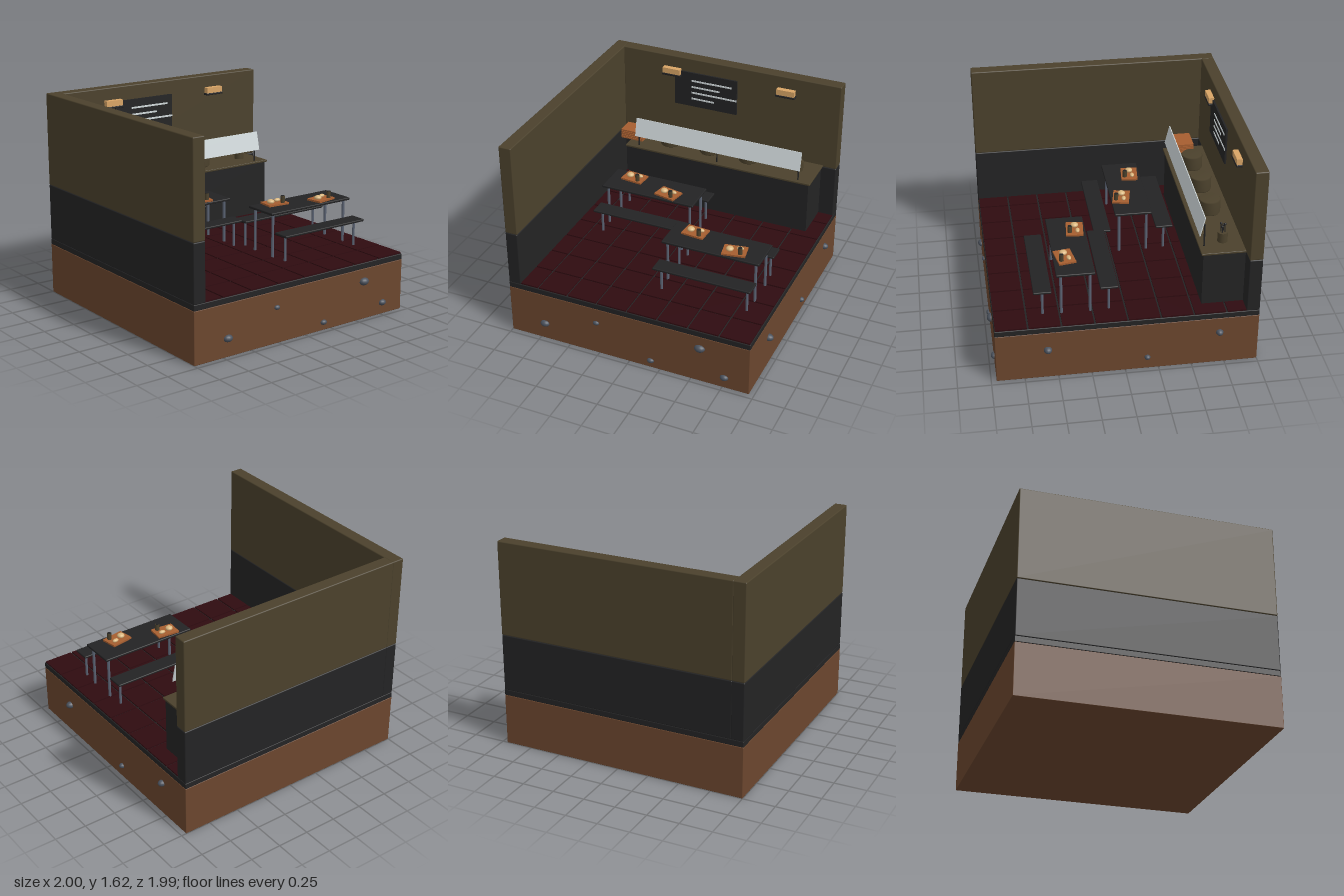
import * as THREE from 'three';
import { RoundedBoxGeometry } from 'three/addons/geometries/RoundedBoxGeometry.js';

function material(name, color, extra = {}) {
  const m = new THREE.MeshStandardMaterial({ color, ...extra });
  m.name = name;
  return m;
}

export function createModel() {
  const soil = material('soil', 0x6b462e);
  const dark = material('charcoal', 0x232324);
  const red = material('red tile', 0x2f0b10);
  const olive = material('olive', 0x4b412c);
  const orange = material('orange wood', 0xa65e30);
  const wood = material('pale wood', 0xd9a566);
  const white = material('pale glass', 0xd0d8da, { side: THREE.DoubleSide });
  const steel = material('steel', 0x5a6272);
  const stone = material('stone', 0x4a515c);
  const bread = material('bread', 0xd9b67e);

  const root = new THREE.Group();
  root.name = 'diner';

  function add(parent, name, geometry, mat, x = 0, y = 0, z = 0) {
    const mesh = new THREE.Mesh(geometry, mat);
    mesh.name = name;
    mesh.position.set(x, y, z);
    parent.add(mesh);
    return mesh;
  }
  // Box given by its limits; r > 0 rounds the edges
  function block(parent, name, mat, x0, x1, y0, y1, z0, z1, r = 0) {
    const s = [x1 - x0, y1 - y0, z1 - z0];
    const g = r ? new RoundedBoxGeometry(...s, 2, r) : new THREE.BoxGeometry(...s);
    return add(parent, name, g, mat, (x0 + x1) / 2, (y0 + y1) / 2, (z0 + z1) / 2);
  }
  // Upright cylinder standing at y0
  function post(parent, name, mat, r, x, z, y0, y1, sides = 12) {
    return add(parent, name, new THREE.CylinderGeometry(r, r, y1 - y0, sides), mat, x, (y0 + y1) / 2, z);
  }
  function group(name, x = 0, y = 0, z = 0) {
    const g = new THREE.Group();
    g.name = name;
    g.position.set(x, y, z);
    root.add(g);
    return g;
  }

  // Ground block and floor slab
  block(root, 'soilBlock', soil, -1, 0.96, 0, 0.4, -1, 0.96, 0.004);
  block(root, 'floorSlab', dark, -1, 0.96, 0.4, 0.446, -1, 0.96, 0.005);

  // Tiled floor
  const floor = group('floorTiles');
  const pitch = 0.245;
  for (let i = 0; i < 8; i++) {
    for (let j = 0; j < 8; j++) {
      const x = -1 + i * pitch, z = -1 + j * pitch;
      block(floor, 'floorTile', red, x + 0.007, x + pitch - 0.007, 0.44, 0.457, z + 0.007, z + pitch - 0.007);
    }
  }

  // Two walls, each with a dark lower and an olive upper band
  const walls = group('walls');
  for (const [mat, y0, y1, name] of [[dark, 0.445, 0.89, 'lower'], [olive, 0.89, 1.62, 'upper']]) {
    block(walls, name + 'LeftWall', mat, -1, -0.9, y0, y1, -1, 0.96, 0.008);
    block(walls, name + 'BackWall', mat, -0.905, 0.96, y0, y1, -1, -0.9, 0.008);
  }

  // Stones set into the soil: x, y, z, half sizes
  const stones = group('stones');
  for (const [x, y, z, a, b, c] of [
    [-0.71, 0.14, 0.96, 0.037, 0.027, 0.03], [-0.27, 0.275, 0.96, 0.025, 0.018, 0.02],
    [0.57, 0.3, 0.96, 0.042, 0.03, 0.034], [0.175, 0.062, 0.96, 0.028, 0.02, 0.022],
    [0.765, 0.092, 0.96, 0.033, 0.024, 0.027], [0.96, 0.25, 0.575, 0.04, 0.027, 0.031],
    [0.96, 0.275, -0.705, 0.036, 0.025, 0.028], [0.96, 0.102, -0.165, 0.028, 0.02, 0.023],
  ]) add(stones, 'stone', new THREE.SphereGeometry(1, 14, 10), stone, x, y, z).scale.set(a, b, c);

  // Serving counter
  const counter = group('counter');
  block(counter, 'counterBody', dark, -0.73, 0.835, 0.446, 0.89, -0.9, -0.585);
  block(counter, 'counterTop', olive, -0.745, 0.85, 0.889, 0.906, -0.9, -0.57, 0.004);

  // Pots
  const potProfile = [[0, 0], [0.078, 0], [0.083, 0.008], [0.083, 0.108], [0.077, 0.117], [0, 0.117]]
    .map(([r, y]) => new THREE.Vector2(r, y));
  for (const x of [-0.415, -0.07, 0.272]) {
    add(counter, 'pot', new THREE.LatheGeometry(potProfile, 32), olive, x, 0.906, -0.745);
  }

  // Utensil holder
  post(counter, 'utensilCup', olive, 0.038, 0.692, -0.755, 0.906, 0.985, 20);
  for (let i = 0; i < 4; i++) {
    const a = i * Math.PI / 2 + 0.5, dx = Math.cos(a) * 0.015, dz = Math.sin(a) * 0.015;
    const top = 1.035 + (i % 2) * 0.018;
    post(counter, 'utensilHandle', dark, 0.004, 0.692 + dx, -0.755 + dz, 0.98, top, 8);
    add(counter, 'utensilHead', new THREE.SphereGeometry(0.01, 10, 8), dark, 0.692 + dx, top, -0.755 + dz);
  }

  // Stacked trays at the end of the counter
  for (let i = 0; i < 5; i++) {
    const y = 0.906 + i * 0.016;
    block(counter, 'stackedTray', orange, -0.83, -0.637, y, y + 0.013, -0.805, -0.665);
    if (i < 4) block(counter, 'trayFoot', orange, -0.822, -0.645, y + 0.013, y + 0.016, -0.797, -0.673);
  }

  // Tilted glass guard on thin posts
  const glass = add(counter, 'glassGuard', new THREE.BoxGeometry(1.42, 0.154, 0.007), white, 0.053, 1.08, -0.588);
  glass.rotation.x = -0.23;
  for (const x of [-0.64, 0.05, 0.74]) post(counter, 'guardPost', dark, 0.006, x, -0.608, 0.906, 1.09, 8);

  // Menu board with plain chalk strokes
  const board = group('menuBoard');
  block(board, 'boardPanel', dark, -0.44, 0.1, 1.205, 1.505, -0.902, -0.886);
  for (const [x1, y] of [[0.053, 1.436], [-0.05, 1.381], [0.1, 1.329], [-0.095, 1.276]]) {
    block(board, 'chalkStroke', white, -0.292, x1, y - 0.007, y + 0.007, -0.886, -0.882);
  }

  // Wall lamps
  for (const x of [-0.463, 0.515]) {
    const lamp = group('wallLamp', x);
    block(lamp, 'lampShade', wood, -0.074, 0.074, 1.475, 1.521, -0.9, -0.858);
    block(lamp, 'lampBracket', dark, -0.082, 0.082, 1.458, 1.475, -0.9, -0.854, 0.004);
  }

  // Dining sets: one table between two benches
  function diningSet(x, z) {
    const set = group('diningSet', x, 0, z);
    block(set, 'tableTop', dark, -0.39, 0.39, 0.79, 0.81, -0.143, 0.143, 0.006);
    for (const sx of [-1, 1]) {
      for (const sz of [-1, 1]) {
        post(set, 'tableLeg', steel, 0.011, sx * 0.353, sz * 0.107, 0.452, 0.792);
        post(set, 'benchLeg', steel, 0.01, sx * 0.343, sz * 0.245, 0.452, 0.657);
      }
    }
    for (const sz of [-1, 1]) {
      const c = sz * 0.245;
      block(set, 'benchSeat', dark, -0.39, 0.39, 0.655, 0.673, c - 0.067, c + 0.067, 0.006);
    }
  }
  diningSet(-0.315, -0.195);
  diningSet(0.445, 0.347);

  // Meal trays: x, z, turn
  for (const [x, z, turn] of [[-0.515, -0.252, -0.1], [-0.168, -0.135, -0.2], [0.245, 0.285, -0.09], [0.61, 0.403, 0.17]]) {
    const meal = group('mealTray', x, 0.81, z);
    meal.rotation.y = turn;
    block(meal, 'tray', orange, -0.09, 0.09, 0, 0.014, -0.065, 0.065);
    add(meal, 'bun', new THREE.SphereGeometry(1, 18, 12), bread, -0.037, 0.023, 0).scale.set(0.029, 0.019, 0.029);
    add(meal, 'roll', new THREE.SphereGeometry(1, 16, 10), bread, 0.037, 0.021, -0.022).scale.set(0.027, 0.014, 0.017);
    post(meal, 'cup', olive, 0.017, 0.048, 0.037, 0.014, 0.066, 16);
    post(meal, 'drink', dark, 0.014, 0.048, 0.037, 0.066, 0.068, 16);
  }

  return root;
}
